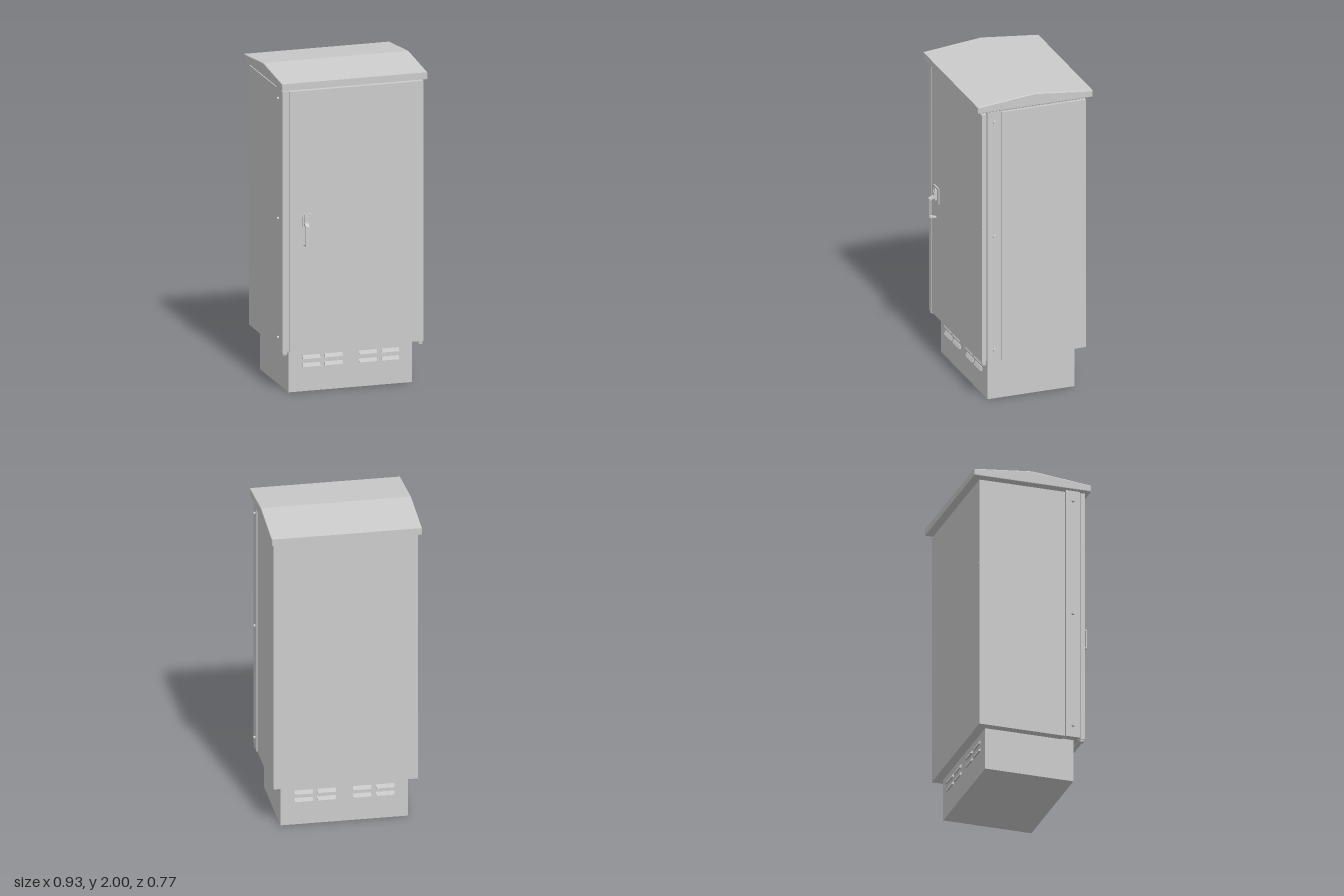
import * as THREE from 'three';

const material = new THREE.MeshStandardMaterial({ color: 0xcccccc });

export function createModel() {
  const model = new THREE.Group();

  const add = (name, geometry, parent = model) => {
    const mesh = new THREE.Mesh(geometry, material);
    mesh.name = name;
    parent.add(mesh);
    return mesh;
  };
  // Box given by its limits on each axis
  const box = (name, [x0, x1], [y0, y1], [z0, z1], parent) => {
    const mesh = add(name, new THREE.BoxGeometry(x1 - x0, y1 - y0, z1 - z0), parent);
    mesh.position.set((x0 + x1) / 2, (y0 + y1) / 2, (z0 + z1) / 2);
    return mesh;
  };
  // Profile of [z, y] points swept along x, centred on x = 0
  const sweepX = (points, width, bevel = 0) => {
    const shape = new THREE.Shape(points.map(([z, y]) => new THREE.Vector2(-z, y)));
    const geometry = new THREE.ExtrudeGeometry(shape, {
      depth: width - 2 * bevel, bevelEnabled: bevel > 0, bevelSize: bevel,
      bevelThickness: bevel, bevelOffset: -bevel, bevelSegments: 3,
    });
    return geometry.translate(0, 0, bevel - width / 2).rotateY(Math.PI / 2);
  };

  // Plinth, cabinet and the neck under the roof
  box('plinth', [-0.393, 0.393], [0, 0.28], [-0.29, 0.275]);
  box('cabinetBody', [-0.445, 0.445], [0.27, 1.9], [-0.345, 0.2]);
  box('roofNeck', [-0.41, 0.43], [1.89, 1.93], [-0.312, 0.3]);
  box('frontFrameCore', [-0.438, 0.438], [0.275, 1.9], [0.19, 0.31]);

  // Gabled roof with softened edges
  add('roof', sweepX([
    [0.364, 1.918], [0.364, 1.961], [-0.01, 2], [-0.383, 1.961], [-0.383, 1.918],
  ], 0.926, 0.006));

  // Door, its folded edge and the post on the latch side
  box('door', [-0.405, 0.446], [0.268, 1.9], [0.304, 0.332]);
  box('doorInnerEdge', [-0.417, -0.4], [0.268, 1.9], [0.3, 0.318]);
  box('latchPost', [-0.45, -0.418], [0.262, 1.905], [0.3, 0.33]);
  box('doorPin', [0.36, 0.368], [1.106, 1.114], [0.33, 0.334]);

  for (const side of [-1, 1]) {
    // Cover strip along each side, with bolts
    const strip = new THREE.Group();
    strip.name = side > 0 ? 'leftCoverStrip' : 'rightCoverStrip';
    model.add(strip);
    box('coverStrip', side > 0 ? [0.43, 0.45] : [-0.45, -0.43], [0.27, 1.912], [0.207, 0.298], strip);
    for (const y of [0.345, 1.092, 1.845]) {
      const bolt = add('bolt', new THREE.CylinderGeometry(0.007, 0.01, 0.012, 16), strip);
      bolt.rotation.z = -side * Math.PI / 2;
      bolt.position.set(side * 0.455, y, 0.252);
    }
    // Pivot below each front corner
    const pivot = add('hingePivot', new THREE.CylinderGeometry(0.014, 0.014, 0.022, 16));
    pivot.position.set(side * 0.432, 0.26, 0.314);
  }

  // Vent hoods, two rows on the front and back of the plinth
  const hood = sweepX([[-0.005, 0.013], [0.003, 0.013], [0.014, -0.009], [-0.005, -0.009]], 0.112);
  for (const face of [1, -1]) {
    const vents = new THREE.Group();
    vents.name = face > 0 ? 'frontVents' : 'backVents';
    vents.position.z = face > 0 ? 0.275 : -0.29;
    if (face < 0) vents.rotation.y = Math.PI;
    model.add(vents);
    for (const y of [0.163, 0.213])
      for (const x of [-0.251, -0.109, 0.109, 0.251])
        add('ventHood', hood, vents).position.set(x, y, 0);
  }

  // Swing handle: mounting plate, pivot block, bent lever and lock
  const handle = new THREE.Group();
  handle.name = 'doorHandle';
  handle.position.set(-0.307, 0, 0);
  model.add(handle);
  box('handlePlate', [-0.043, 0.043], [1.03, 1.13], [0.33, 0.339], handle);
  box('pivotBlock', [-0.019, 0.019], [1.05, 1.115], [0.336, 0.352], handle);
  add('handleLever', sweepX([
    [0.345, 1.115], [0.354, 1.13], [0.357, 1.075], [0.386, 1.06], [0.388, 0.938],
    [0.34, 0.929], [0.34, 0.937], [0.38, 0.945], [0.379, 1.052], [0.345, 1.062],
  ], 0.025), handle);
  const lock = add('lock', new THREE.CylinderGeometry(0.012, 0.012, 0.012, 20), handle);
  lock.rotation.x = Math.PI / 2;
  lock.position.set(0, 1.1, 0.354);

  // Small stud on the back panel
  const stud = add('backStud', new THREE.CylinderGeometry(0.005, 0.005, 0.01, 12));
  stud.rotation.x = Math.PI / 2;
  stud.position.set(-0.435, 1.345, -0.347);

  return model;
}
